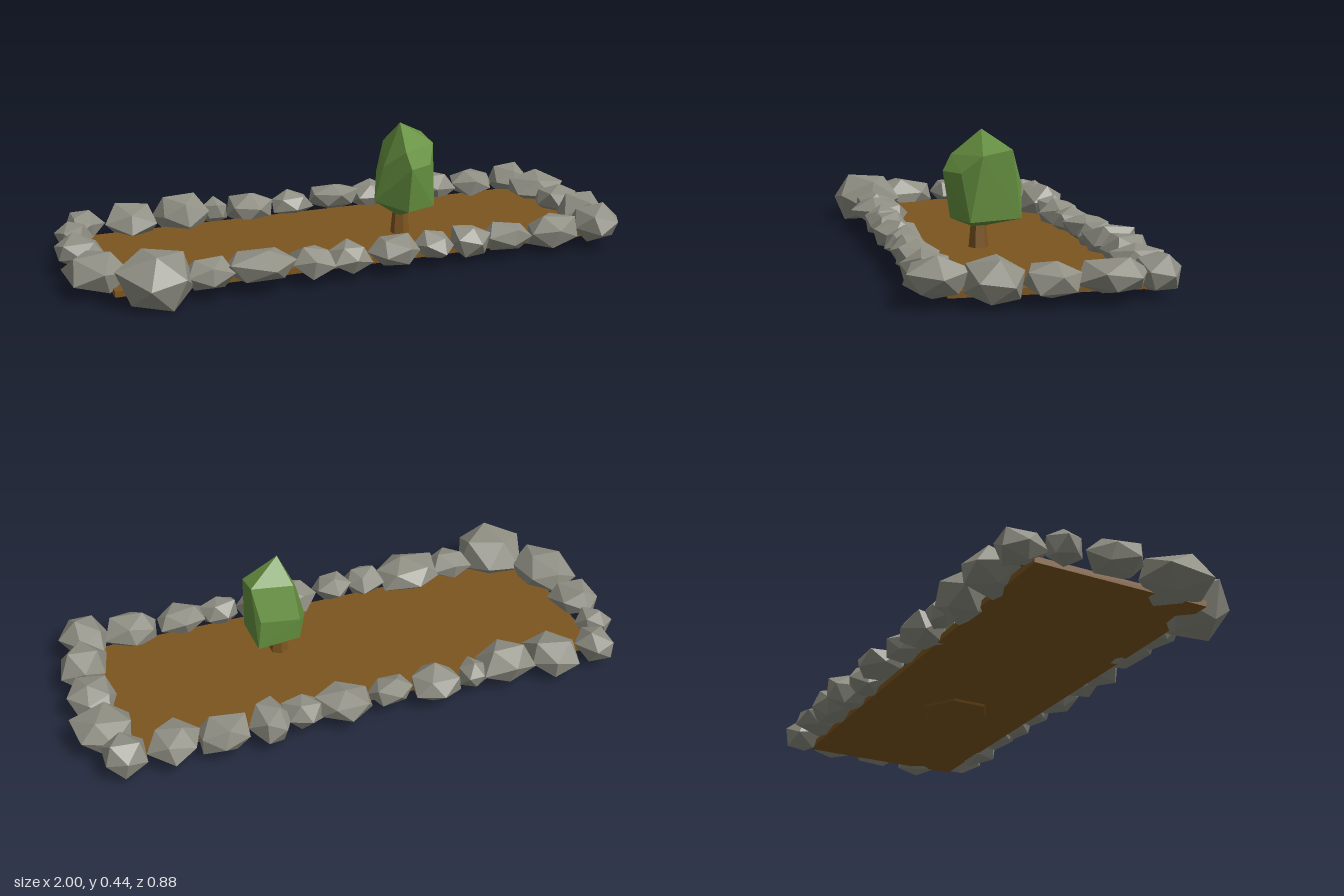
import * as THREE from 'three';
import { ConvexGeometry } from 'three/addons/geometries/ConvexGeometry.js';

const mat = (name, color) => {
  const m = new THREE.MeshStandardMaterial({ color, flatShading: true });
  m.name = name;
  return m;
};

// Small seeded random generator
function seeded(seed) {
  let s = seed * 7919 + 13;
  return () => (s = (s * 16807) % 2147483647) / 2147483647;
}

// Irregular faceted stone, fitted to the given size
function stoneGeometry(seed, rx, rz, bottom, top) {
  const rnd = seeded(seed);
  for (let i = 0; i < 5; i++) rnd();
  const turn = new THREE.Euler(rnd() * 6, rnd() * 6, rnd() * 6);
  const ico = new THREE.IcosahedronGeometry(1, 0).attributes.position;
  const unique = new Map();
  for (let i = 0; i < ico.count; i++) {
    const v = new THREE.Vector3().fromBufferAttribute(ico, i);
    unique.set(v.toArray().map(n => n.toFixed(2)).join(), v);
  }
  const points = [...unique.values()].map(v => v.multiplyScalar(0.85 + 0.3 * rnd()).applyEuler(turn));
  const box = new THREE.Box3().setFromPoints(points);
  const size = box.getSize(new THREE.Vector3()), mid = box.getCenter(new THREE.Vector3());
  const fit = new THREE.Vector3(2 * rx / size.x, (top - bottom) / size.y, 2 * rz / size.z);
  points.forEach(p => p.sub(mid).multiply(fit));
  return new ConvexGeometry(points);
}

// Each stone: x, z, half width, half depth, optional bottom and top
const backRow = [
  [-0.84, -0.35, 0.07, 0.075], [-0.68, -0.345, 0.095, 0.095, 0.02, 0.14],
  [-0.49, -0.345, 0.1, 0.09, 0.015, 0.155], [-0.36, -0.355, 0.05, 0.05],
  [-0.22, -0.355, 0.085, 0.085, 0.02, 0.14], [-0.06, -0.35, 0.08, 0.07],
  [0.115, -0.355, 0.095, 0.085], [0.26, -0.35, 0.065, 0.07],
  [0.375, -0.355, 0.08, 0.085, 0.02, 0.14], [0.53, -0.36, 0.085, 0.08],
  [0.7, -0.35, 0.095, 0.09], [0.86, -0.35, 0.07, 0.075, 0.02, 0.14],
];
const frontRow = [
  [-0.75, 0.31, 0.13, 0.125, 0.005, 0.18], [-0.57, 0.305, 0.08, 0.07],
  [-0.4, 0.305, 0.12, 0.11, 0.02, 0.14], [-0.22, 0.31, 0.075, 0.07],
  [-0.09, 0.31, 0.07, 0.07], [0.07, 0.31, 0.09, 0.08],
  [0.22, 0.31, 0.07, 0.065], [0.36, 0.31, 0.07, 0.065],
  [0.5, 0.305, 0.085, 0.07], [0.69, 0.31, 0.1, 0.08, 0.015, 0.135],
  [0.86, 0.305, 0.09, 0.1, 0.02, 0.16],
];
const rightEnd = [
  [-0.9, -0.24, 0.065, 0.065], [-0.91, -0.08, 0.08, 0.1], [-0.9, 0.15, 0.1, 0.13, 0.02, 0.14],
];
const leftEnd = [
  [0.89, 0.15, 0.09, 0.09, 0.02, 0.15], [0.9, -0.03, 0.085, 0.09, 0.02, 0.135],
  [0.9, -0.2, 0.1, 0.115, 0.025, 0.14],
];

export function createModel() {
  const model = new THREE.Group();
  model.name = 'gardenBed';
  const stoneGrey = mat('stoneGrey', 0x8f8f84);
  const soilBrown = mat('soilBrown', 0x7d5520);
  const leafGreen = mat('leafGreen', 0x669140);
  const add = (parent, name, geometry, material, x = 0, y = 0, z = 0) => {
    const mesh = new THREE.Mesh(geometry, material);
    mesh.name = name;
    mesh.position.set(x, y, z);
    parent.add(mesh);
    return mesh;
  };

  // Soil slab
  add(model, 'soil', new THREE.BoxGeometry(1.74, 0.02, 0.6), soilBrown, 0, 0.04, -0.02);

  // Stone border
  let seed = 1;
  for (const [name, row] of Object.entries({ backRow, frontRow, rightEnd, leftEnd })) {
    const group = new THREE.Group();
    group.name = name + 'Stones';
    for (const [x, z, rx, rz, bottom = 0.03, top = 0.132] of row) {
      const geometry = stoneGeometry(seed++, rx, rz, bottom, top);
      add(group, 'stone', geometry, stoneGrey, x, (bottom + top) / 2, z);
    }
    model.add(group);
  }

  // Bush with its short stem and root base
  const bush = new THREE.Group();
  bush.name = 'bush';
  const crown = [
    [0.21, 0.45, 0.04], [0.33, 0.39, -0.04], [0.33, 0.37, 0.06], [0.19, 0.365, 0.14],
    [0.18, 0.37, -0.04], [0.31, 0.27, -0.075], [0.17, 0.25, -0.075], [0.29, 0.31, 0.125],
    [0.2, 0.31, 0.17], [0.14, 0.3, 0.06], [0.32, 0.16, -0.072], [0.32, 0.15, 0.1],
    [0.11, 0.175, 0.05], [0.2, 0.15, 0.145], [0.17, 0.17, -0.07], [0.2, 0.115, 0.06],
  ].map(p => new THREE.Vector3(...p));
  add(bush, 'crown', new ConvexGeometry(crown), leafGreen);
  add(bush, 'stem', new THREE.CylinderGeometry(0.025, 0.035, 0.11, 6), soilBrown, 0.21, 0.095, 0.05);
  add(bush, 'rootBase', new THREE.CylinderGeometry(0.13, 0.12, 0.015, 6), soilBrown, 0.25, 0.03, 0);
  model.add(bush);
  return model;
}
